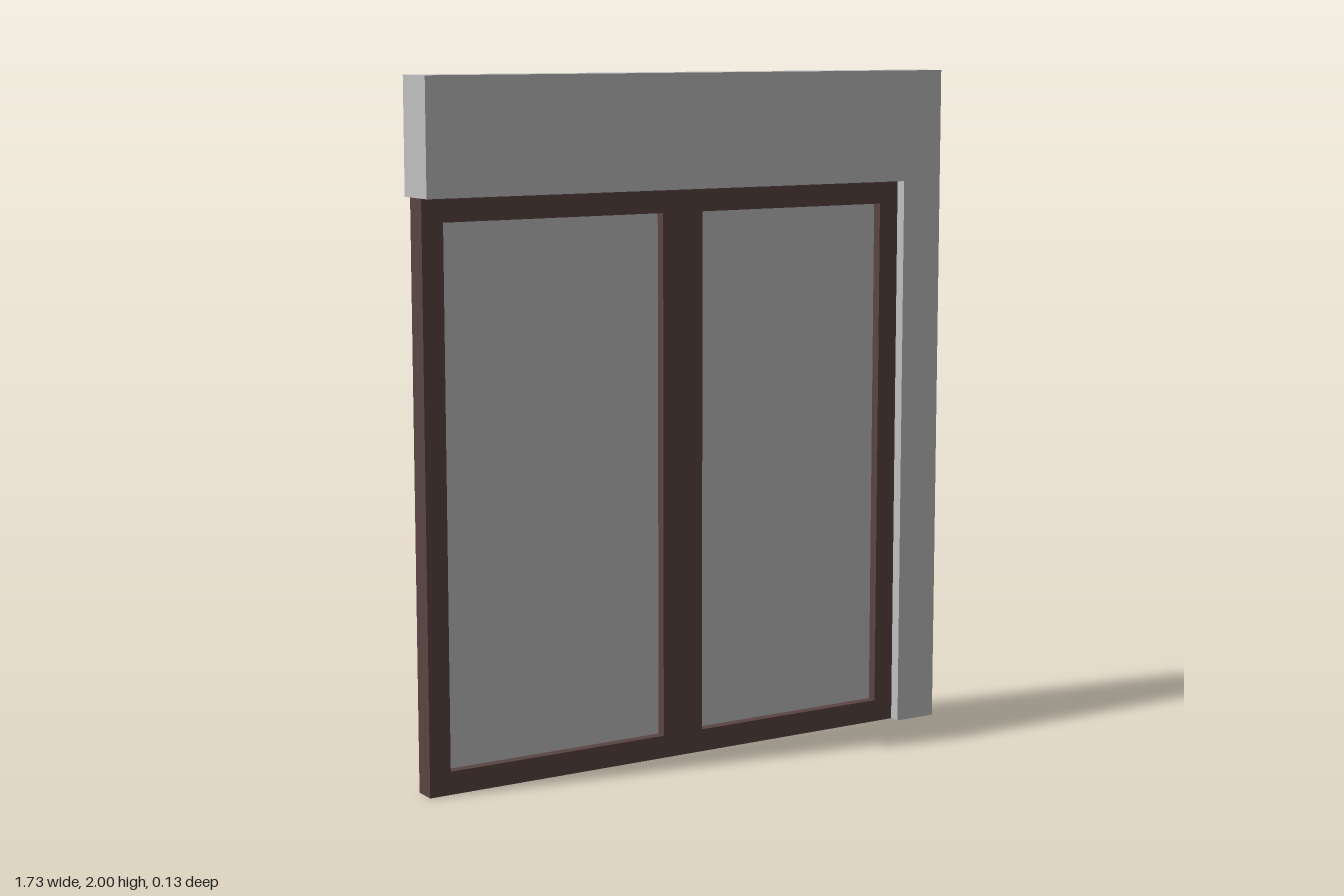
import * as THREE from 'three';

export function createModel() {
  const grey = new THREE.MeshStandardMaterial({ color: 0xc0c0c0 });
  grey.name = 'grey';
  const brown = new THREE.MeshStandardMaterial({ color: 0x5a4543 });
  brown.name = 'dark brown';

  const model = new THREE.Group();
  model.name = 'window';

  // Rectangle outline from opposite corners
  const trace = (path, [x0, y0, x1, y1]) => {
    path.moveTo(x0, y0);
    path.lineTo(x1, y0);
    path.lineTo(x1, y1);
    path.lineTo(x0, y1);
    path.closePath();
    return path;
  };

  // Extrusion centred on z = 0
  const addPart = (name, shape, depth, material) => {
    const geometry = new THREE.ExtrudeGeometry(shape, { depth, bevelEnabled: false });
    geometry.translate(0, 0, -depth / 2);
    const mesh = new THREE.Mesh(geometry, material);
    mesh.name = name;
    model.add(mesh);
  };

  // L-shaped surround: lintel box above and a post on the left
  const surround = new THREE.Shape();
  surround.moveTo(0.731, 0);
  surround.lineTo(0.865, 0);
  surround.lineTo(0.865, 2);
  surround.lineTo(-0.865, 2);
  surround.lineTo(-0.865, 1.67);
  surround.lineTo(0.731, 1.67);
  surround.closePath();
  addPart('surround', surround, 0.133, grey);

  // Frame with two openings, each closed by a thin pane
  const openings = [
    [-0.8, 0.067, -0.1, 1.603],
    [0.033, 0.067, 0.666, 1.603],
  ];
  const frame = trace(new THREE.Shape(), [-0.865, 0, 0.731, 1.67]);
  openings.forEach((o) => frame.holes.push(trace(new THREE.Path(), o)));
  addPart('frame', frame, 0.067, brown);
  openings.forEach((o, i) =>
    addPart(i ? 'leftPane' : 'rightPane', trace(new THREE.Shape(), o), 0.008, grey));

  return model;
}
